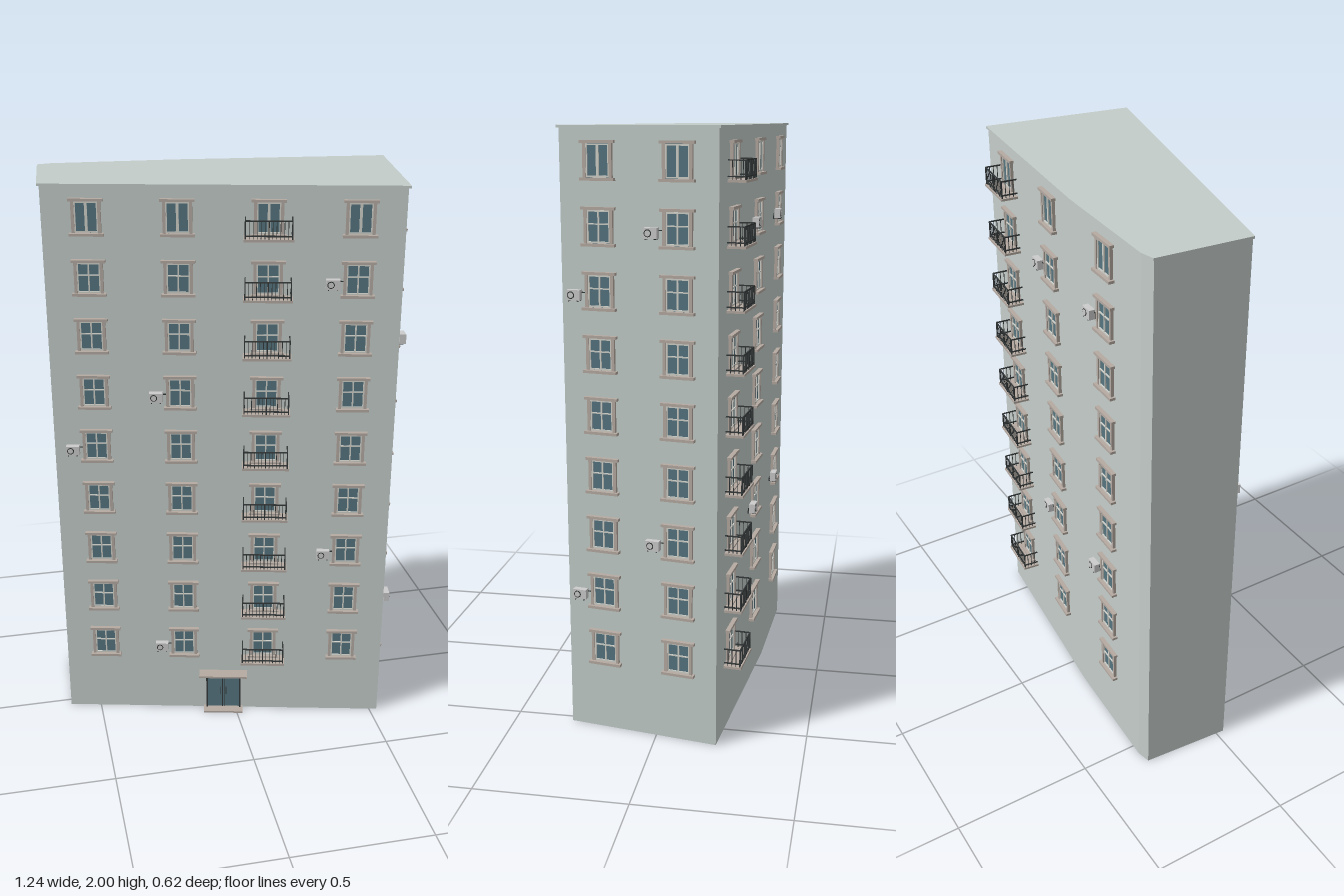
import * as THREE from 'three';

const paint = (color) => new THREE.MeshStandardMaterial({ color });
const wallMat = paint(0xc4cdca);
const trimMat = paint(0xb5aaa2);
const frameMat = paint(0xd2d2cc);
const glassMat = paint(0x55747f);
const metalMat = paint(0x343838);
const unitMat = paint(0xcccccc);

const unitBox = new THREE.BoxGeometry(1, 1, 1);
const disc = new THREE.CylinderGeometry(1, 1, 1, 16).rotateX(Math.PI / 2);

// Footprint corners [x, z], left to right as seen from outside
const plan = [[-0.612, 0.03], [0.528, 0.303], [0.61, -0.207], [-0.11, -0.278], [-0.54, -0.297], [-0.588, -0.286]];
const FLOORS = 9, FIRST = 0.295, STOREY = 0.2;

function box(parent, name, mat, w, h, d, x, y, z) {
  const m = new THREE.Mesh(unitBox, mat);
  m.name = name;
  m.scale.set(w, h, d);
  m.position.set(x, y, z);
  parent.add(m);
  return m;
}

function slab(name, mat, y0, y1, sx, sz) {
  const shape = new THREE.Shape(plan.map(([x, z]) => new THREE.Vector2(x * sx, -z * sz)));
  const geo = new THREE.ExtrudeGeometry(shape, { depth: y1 - y0, bevelEnabled: false });
  geo.rotateX(-Math.PI / 2).translate(0, y0, 0);
  const m = new THREE.Mesh(geo, mat);
  m.name = name;
  return m;
}

// Group whose x runs along wall i, y is up and z points outward
function onWall(name, i, t, y) {
  const [ax, az] = plan[i], [bx, bz] = plan[(i + 1) % plan.length];
  const g = new THREE.Group();
  g.name = name;
  g.position.set(ax + (bx - ax) * t, y, az + (bz - az) * t);
  g.rotation.y = Math.atan2(-(bz - az), bx - ax);
  return g;
}

function addWindow(g, topFloor) {
  box(g, 'glass', glassMat, 0.084, 0.108, 0.004, 0, 0, 0.001);
  // Surround, lintel and sill
  for (const s of [-1, 1]) {
    box(g, 'surround', trimMat, 0.01, 0.108, 0.012, s * 0.043, 0, 0.004);
    box(g, 'sashSide', frameMat, 0.005, 0.1, 0.008, s * 0.036, 0, 0.003);
    box(g, 'sashRail', frameMat, 0.076, 0.005, 0.008, 0, s * 0.048, 0.003);
  }
  box(g, 'lintel', trimMat, 0.112, 0.009, 0.018, 0, 0.056, 0.006);
  box(g, 'sill', trimMat, 0.112, 0.009, 0.022, 0, -0.056, 0.008);
  // Glazing bars
  box(g, 'mullion', frameMat, topFloor ? 0.009 : 0.005, 0.1, 0.008, 0, 0, 0.003);
  if (!topFloor) box(g, 'transom', frameMat, 0.076, 0.004, 0.008, 0, 0.008, 0.003);
}

function addBalcony(parent) {
  const g = new THREE.Group();
  g.name = 'balcony';
  parent.add(g);
  const w = 0.15, d = 0.055;
  box(g, 'balconySlab', trimMat, 0.162, 0.008, 0.06, 0, -0.061, 0.03);
  for (const y of [-0.047, 0.002]) {
    box(g, 'frontRail', metalMat, w, 0.004, 0.004, 0, y, d);
    for (const s of [-1, 1]) box(g, 'sideRail', metalMat, 0.004, 0.004, d, s * w / 2, y, d / 2);
  }
  for (let i = 0; i <= 12; i++) {
    const thick = i % 6 === 0 ? 0.004 : 0.002;
    box(g, 'baluster', metalMat, thick, 0.06, thick, (i / 12 - 0.5) * w, -0.028, d);
  }
  for (const s of [-1, 1]) for (let i = 1; i <= 3; i++)
    box(g, 'sideBaluster', metalMat, 0.002, 0.06, 0.002, s * w / 2, -0.028, d * i / 4);
}

function addCooler(parent) {
  const g = new THREE.Group();
  g.name = 'airConditioner';
  g.position.set(-0.082, -0.013, 0);
  parent.add(g);
  box(g, 'casing', unitMat, 0.046, 0.033, 0.021, 0, 0, 0.0165);
  const ring = new THREE.Mesh(disc, metalMat);
  ring.name = 'fanGrille';
  ring.scale.set(0.012, 0.012, 0.002);
  ring.position.set(-0.007, 0, 0.027);
  g.add(ring);
  const hub = new THREE.Mesh(disc, unitMat);
  hub.name = 'fanHub';
  hub.scale.set(0.009, 0.009, 0.002);
  hub.position.set(-0.007, 0, 0.028);
  g.add(hub);
  // Wall brackets and pipe to the window
  for (const s of [-1, 1]) {
    box(g, 'bracketArm', metalMat, 0.003, 0.003, 0.028, s * 0.015, -0.018, 0.014);
    box(g, 'bracketPost', metalMat, 0.003, 0.02, 0.003, s * 0.015, -0.01, 0.002);
  }
  box(g, 'pipe', metalMat, 0.02, 0.003, 0.003, 0.03, 0.008, 0.008);
}

function addEntrance(g) {
  box(g, 'doorGlass', glassMat, 0.118, 0.15, 0.006, 0, 0.08, 0.002);
  for (const s of [-1, 1]) {
    box(g, 'doorJamb', metalMat, 0.006, 0.154, 0.014, s * 0.062, 0.079, 0.005);
    box(g, 'doorStile', metalMat, 0.003, 0.15, 0.009, s * 0.003, 0.08, 0.003);
    box(g, 'doorHandle', metalMat, 0.003, 0.03, 0.006, s * 0.01, 0.08, 0.009);
  }
  box(g, 'doorHead', metalMat, 0.13, 0.005, 0.014, 0, 0.154, 0.005);
  box(g, 'doorStep', trimMat, 0.148, 0.007, 0.04, 0, 0.0035, 0.02);
  box(g, 'canopy', trimMat, 0.18, 0.007, 0.046, 0, 0.164, 0.023);
}

export function createModel() {
  const model = new THREE.Group();
  model.name = 'apartmentBlock';
  model.add(slab('walls', wallMat, 0, 1.992, 1, 1));
  model.add(slab('roofCap', wallMat, 1.992, 2, 1.013, 1.022));

  // Window columns: wall, place along it, balconies, floors with a cooler
  const columns = [
    [0, 0.125, false, [4]], [0, 0.375, false, [0, 5]], [0, 0.625, true, []], [0, 0.875, false, [2, 7]],
    [1, 0.25, false, [1, 6]], [1, 0.75, false, [2, 7]],
    [2, 0.25, true, []], [2, 0.75, false, [2, 7]],
    [3, 0.5, false, [2, 7]],
  ];
  for (const [wall, t, balcony, coolers] of columns) {
    for (let k = 0; k < FLOORS; k++) {
      const g = onWall('window', wall, t, FIRST + k * STOREY);
      addWindow(g, k === FLOORS - 1);
      if (balcony) addBalcony(g);
      if (coolers.includes(k)) addCooler(g);
      model.add(g);
    }
  }

  const entrance = onWall('entrance', 0, 0.5, 0);
  addEntrance(entrance);
  model.add(entrance);
  return model;
}
